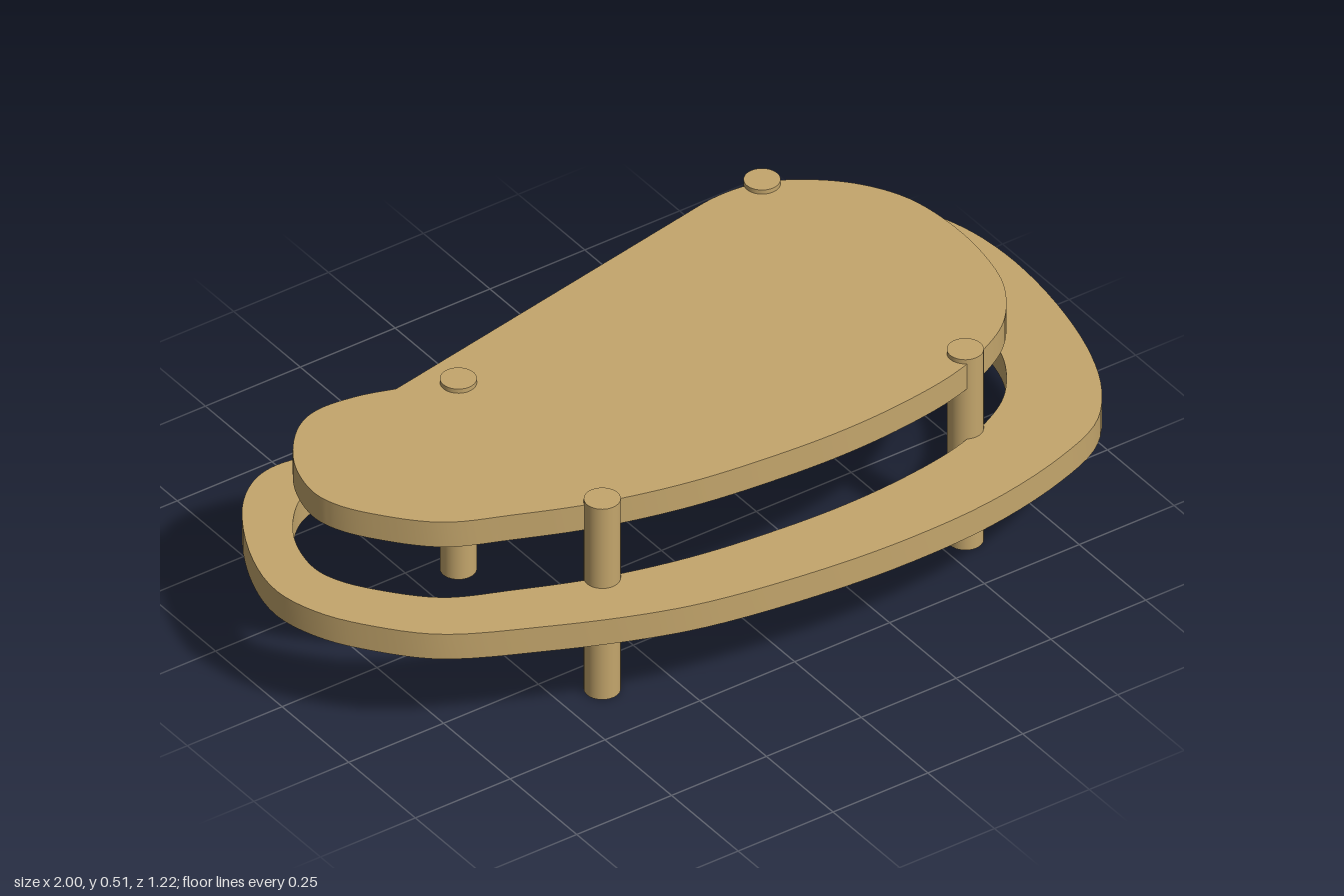
import * as THREE from 'three';
import { toCreasedNormals } from 'three/addons/utils/BufferGeometryUtils.js';

// Plan outlines as [x, z]
const RIM = [
  [-1, -0.02], [-0.97, -0.16], [-0.88, -0.32], [-0.8, -0.385], [-0.73, -0.4], [-0.64, -0.38],
  [-0.53, -0.325], [-0.46, -0.295], [-0.38, -0.285], [-0.28, -0.305], [-0.13, -0.36], [0.1, -0.455],
  [0.35, -0.56], [0.48, -0.6], [0.58, -0.61], [0.68, -0.597], [0.78, -0.55], [0.85, -0.48],
  [0.93, -0.385], [0.98, -0.27], [1, -0.12], [0.985, 0.08], [0.94, 0.27], [0.88, 0.4], [0.8, 0.49],
  [0.66, 0.55], [0.45, 0.595], [0.22, 0.605], [0, 0.59], [-0.25, 0.55], [-0.4, 0.505],
  [-0.6, 0.42], [-0.8, 0.315], [-0.9, 0.21], [-0.97, 0.1],
];
// Runs from one end of the straight back edge round to the other
const TOP = [
  [0.33, -0.417], [0.45, -0.437], [0.54, -0.43], [0.62, -0.395], [0.72, -0.31], [0.785, -0.2],
  [0.808, -0.06], [0.8, 0.08], [0.77, 0.19], [0.7, 0.29], [0.62, 0.345], [0.5, 0.39], [0.35, 0.415],
  [0.18, 0.424], [0, 0.415], [-0.2, 0.39], [-0.4, 0.34], [-0.58, 0.27], [-0.72, 0.205],
  [-0.82, 0.1], [-0.87, 0.02], [-0.885, -0.045], [-0.865, -0.14], [-0.82, -0.215], [-0.76, -0.27],
  [-0.7, -0.29], [-0.6, -0.28], [-0.52, -0.255],
];
const LEGS = [[-0.397, 0.343], [0.56, 0.343], [0.56, -0.42], [-0.397, -0.197]];
const THICKNESS = 0.066;

function smoothOutline(points, closed) {
  const curve = new THREE.CatmullRomCurve3(points.map(([x, z]) => new THREE.Vector3(x, z, 0)), closed);
  const samples = curve.getPoints(160).map((p) => new THREE.Vector2(p.x, p.y));
  if (closed) samples.pop();
  return samples;
}

// Extrudes a plan shape into a horizontal board whose upper face is at topY
function board(name, shape, topY, material) {
  const geometry = new THREE.ExtrudeGeometry(shape, { depth: THICKNESS, bevelEnabled: false });
  geometry.rotateX(Math.PI / 2).translate(0, topY, 0);
  const mesh = new THREE.Mesh(toCreasedNormals(geometry, 0.5), material);
  mesh.name = name;
  return mesh;
}

export function createModel() {
  const model = new THREE.Group();
  model.name = 'table';
  const wood = new THREE.MeshStandardMaterial({ color: 0xc4a66c });
  wood.name = 'light wood';

  // Solid table top
  const topOutline = smoothOutline(TOP, false);
  model.add(board('tableTop', new THREE.Shape(topOutline), 0.496, wood));

  // Lower ring shelf, cut out to the outline of the top
  const ring = new THREE.Shape(smoothOutline(RIM, true));
  ring.holes.push(new THREE.Path(topOutline));
  model.add(board('lowerRing', ring, 0.296, wood));

  // Round legs rising just through the top
  const height = 0.507;
  const legGeometry = new THREE.CylinderGeometry(0.04, 0.04, height, 32).translate(0, height / 2, 0);
  for (const [x, z] of LEGS) {
    const leg = new THREE.Mesh(legGeometry, wood);
    leg.name = 'leg';
    leg.position.set(x, 0, z);
    model.add(leg);
  }
  return model;
}
